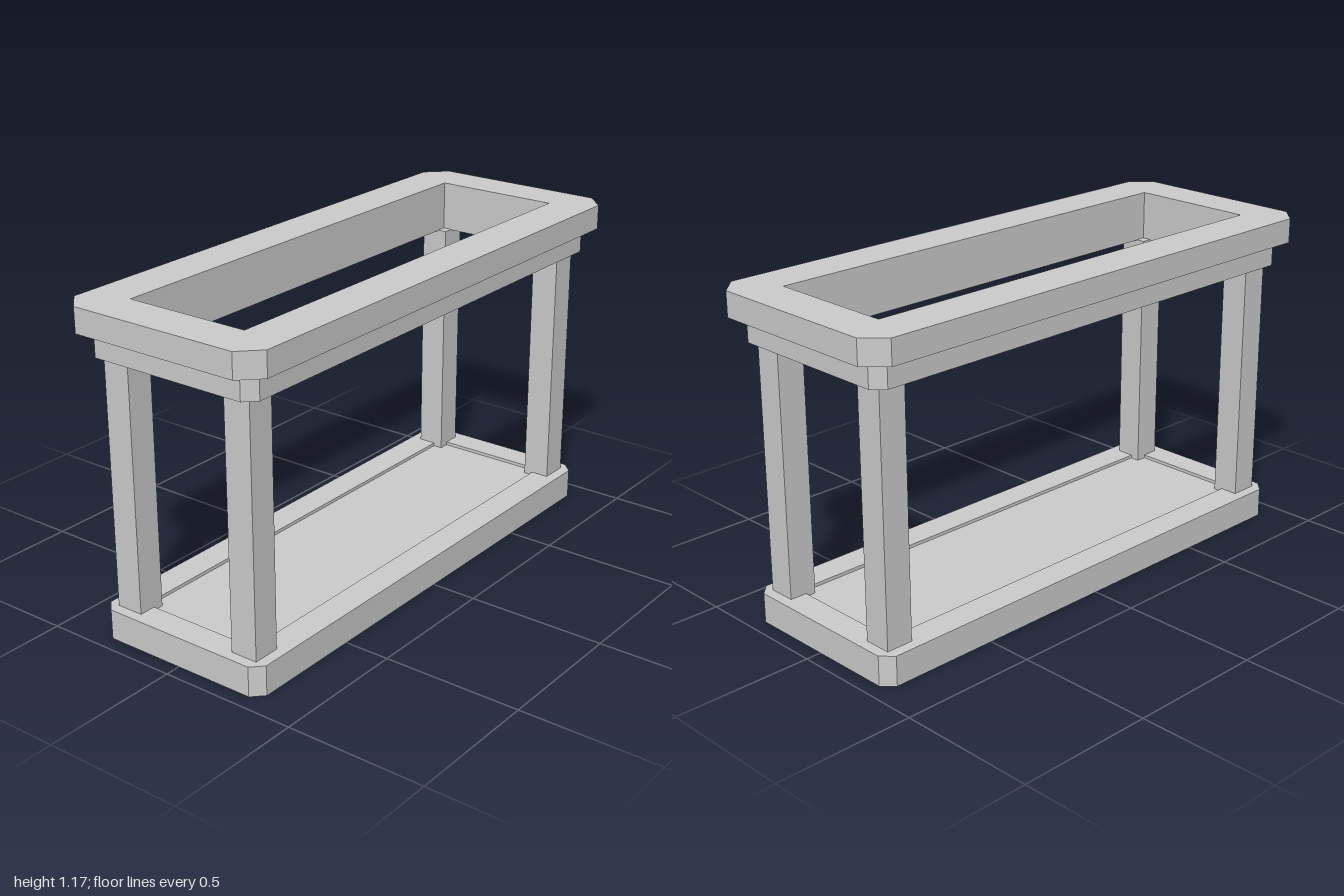
import * as THREE from 'three';

const grey = new THREE.MeshStandardMaterial({ color: 0xcccccc });
grey.name = 'plain grey';

// Half-sizes of the opening shared by all three frames
const IN_X = 0.23, IN_Z = 0.845;

// Rectangular frame with chamfered outer corners and a square-cornered opening
function frame(name, hx, hz, chamfer, y0, y1) {
  const c = chamfer;
  const shape = new THREE.Shape([
    [hx - c, -hz], [hx, -hz + c], [hx, hz - c], [hx - c, hz],
    [-hx + c, hz], [-hx, hz - c], [-hx, -hz + c], [-hx + c, -hz],
  ].map(([x, z]) => new THREE.Vector2(x, z)));
  shape.holes.push(new THREE.Path([
    [-IN_X, -IN_Z], [-IN_X, IN_Z], [IN_X, IN_Z], [IN_X, -IN_Z],
  ].map(([x, z]) => new THREE.Vector2(x, z))));
  const geo = new THREE.ExtrudeGeometry(shape, { depth: y1 - y0, bevelEnabled: false });
  geo.rotateX(-Math.PI / 2).translate(0, y0, 0);
  const mesh = new THREE.Mesh(geo, grey);
  mesh.name = name;
  return mesh;
}

function box(name, w, h, d, x, y, z) {
  const mesh = new THREE.Mesh(new THREE.BoxGeometry(w, h, d), grey);
  mesh.name = name;
  mesh.position.set(x, y, z);
  return mesh;
}

export function createModel() {
  const group = new THREE.Group();
  group.name = 'openFrameTable';

  // Base frame and the two stepped frames of the top
  group.add(frame('baseFrame', 0.335, 0.945, 0.04, 0, 0.107));
  group.add(frame('lowerTopFrame', 0.335, 0.945, 0.04, 0.99, 1.08));
  group.add(frame('upperTopFrame', 0.387, 1, 0.07, 1.08, 1.168));

  // Floor panel, set slightly below the base frame's top
  group.add(box('floorPanel', IN_X * 2, 0.044, IN_Z * 2, 0, 0.073, 0));

  // Four corner posts
  const y0 = 0.09, y1 = 0.992;
  for (const sx of [-1, 1]) {
    for (const sz of [-1, 1]) {
      const name = (sz > 0 ? 'front' : 'back') + (sx > 0 ? 'Left' : 'Right') + 'Post';
      group.add(box(name, 0.1, y1 - y0, 0.1, sx * 0.246, (y0 + y1) / 2, sz * 0.857));
    }
  }
  return group;
}
